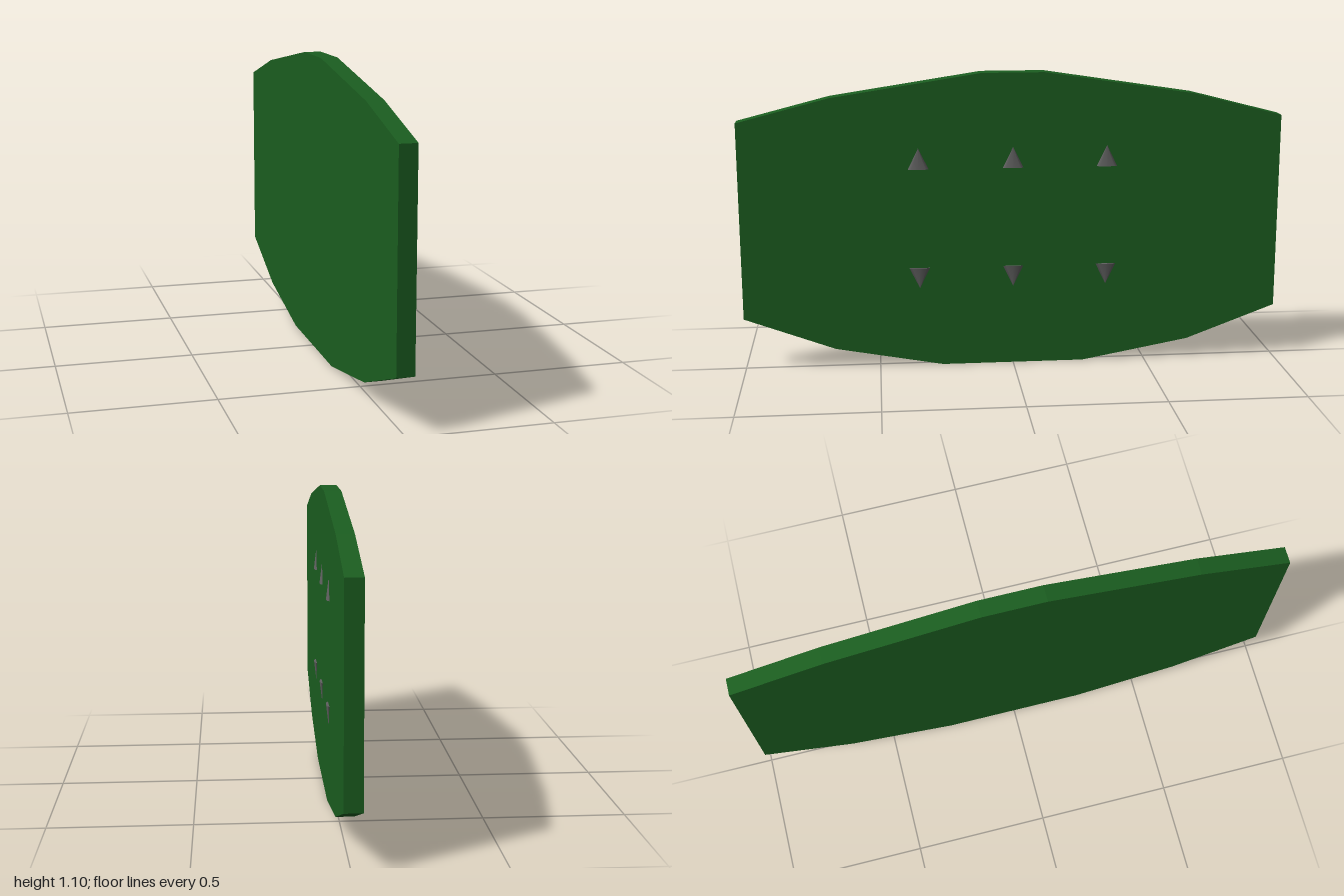
import * as THREE from 'three';

export function createModel() {
  const model = new THREE.Group();
  const green = new THREE.MeshStandardMaterial({ color: 0x1b5e20, flatShading: true });
  const grey = new THREE.MeshStandardMaterial({ color: 0x616161 });
  const backX = -0.036, faceX = 0.026;

  // Plate: half outline as (z, y), mirrored, extruded along x
  const half = [[0.265, 0], [0.665, 0.073], [1, 0.198], [1, 0.93], [0.665, 1.016], [0.115, 1.1]];
  const outline = [...half, ...half.map(([z, y]) => [-z, y]).reverse()];
  const shape = new THREE.Shape(outline.map(([z, y]) => new THREE.Vector2(z, y)));
  const plateGeometry = new THREE.ExtrudeGeometry(shape, { depth: faceX - backX, bevelEnabled: false });
  plateGeometry.rotateY(Math.PI / 2).translate(backX, 0, 0);
  const plate = new THREE.Mesh(plateGeometry, green);
  plate.name = 'plate';
  model.add(plate);

  // Spikes: flattened cones half sunk in the face, upper row up, lower row down
  const height = 0.078;
  const spikeGeometry = new THREE.ConeGeometry(0.038, height, 8);
  spikeGeometry.translate(0, height / 2, 0).scale(0.0095 / 0.038, 1, 1);
  const spikes = new THREE.Group();
  spikes.name = 'spikes';
  for (const [row, y, turn] of [['upper', 0.75, 0], ['lower', 0.378, Math.PI]]) {
    [-0.348, 0, 0.348].forEach((z, i) => {
      const spike = new THREE.Mesh(spikeGeometry, grey);
      spike.name = `${row}Spike${i + 1}`;
      spike.position.set(faceX, y, z);
      spike.rotation.z = turn;
      spikes.add(spike);
    });
  }
  model.add(spikes);
  return model;
}
